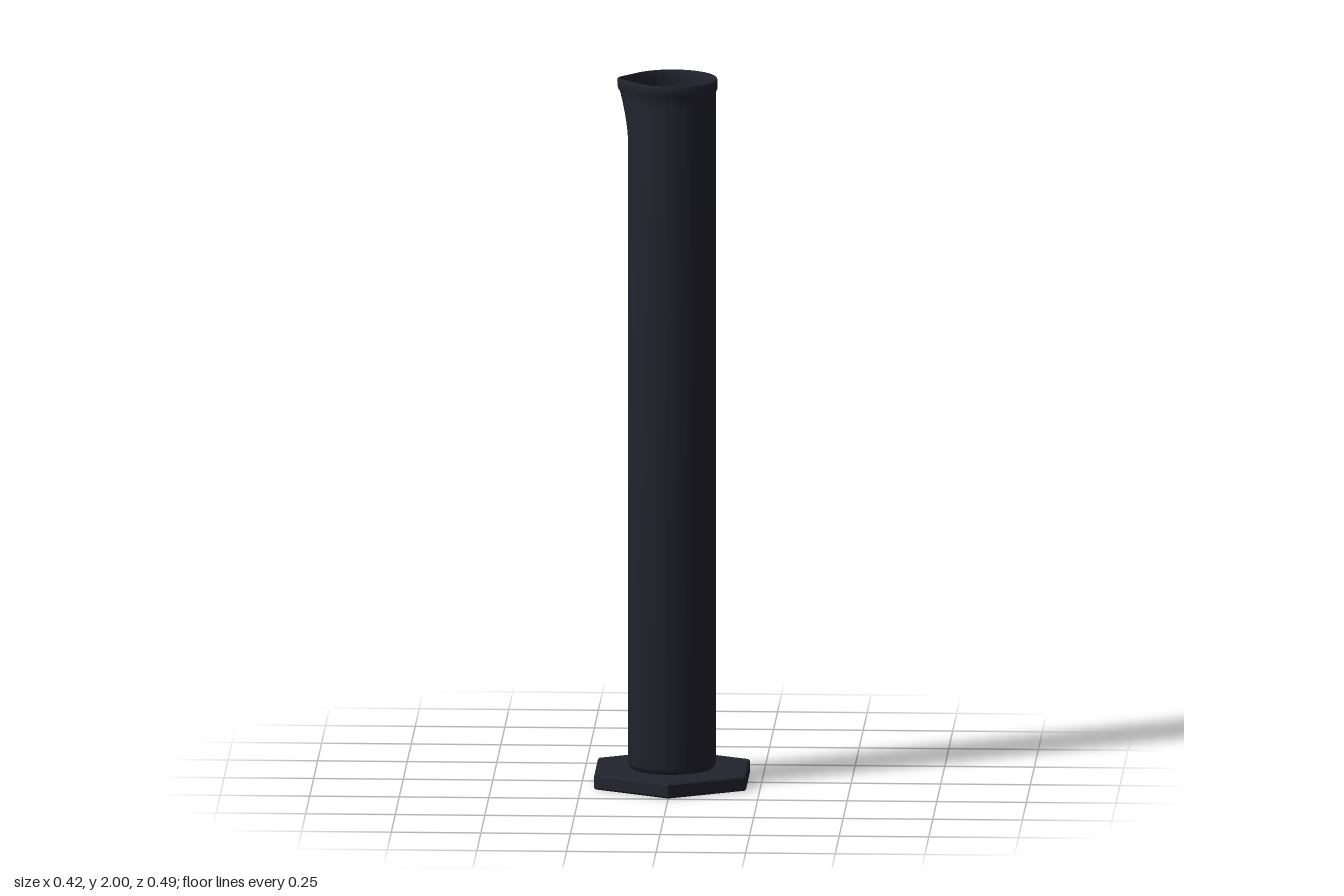
import * as THREE from 'three';
import { mergeVertices, toCreasedNormals } from 'three/addons/utils/BufferGeometryUtils.js';

const dark = new THREE.MeshStandardMaterial({ color: 0x242430 });
dark.name = 'dark plastic';

// Revolve a profile of [radius, height] pairs
function lathe(points, segments) {
  return new THREE.LatheGeometry(points.map(([r, y]) => new THREE.Vector2(r, y)), segments);
}

// Weld the seam and keep only the sharp edges creased
function finish(geometry, angle) {
  geometry.deleteAttribute('uv');
  geometry.deleteAttribute('normal');
  return toCreasedNormals(mergeVertices(geometry, 1e-5), angle);
}

// How far the spout tip stands out from the wall at a height
function spoutReach(y) {
  const t = THREE.MathUtils.clamp((y - 1.83) / 0.15, 0, 1);
  return 0.026 * Math.pow(t, 1.5);
}

// Pull one side of the wall out to a small round tip with tangent sides
function addSpout(geometry) {
  const p = geometry.attributes.position;
  const c = 0.777; // cosine of the spout's half angle
  for (let i = 0; i < p.count; i++) {
    const x = p.getX(i), z = p.getZ(i), r = Math.hypot(x, z);
    if (r < 0.05 || -x / r < c) continue;
    const shift = spoutReach(p.getY(i)) / (1 - c);
    const k = (r - shift * c) / r;
    p.setX(i, x * k - shift);
    p.setZ(i, z * k);
  }
  return geometry;
}

export function createModel() {
  const group = new THREE.Group();
  group.name = 'measuringCylinder';

  // Hexagonal foot with chamfered edges
  const foot = new THREE.Mesh(finish(lathe([
    [0, 0], [0.24, 0], [0.245, 0.005], [0.245, 0.037], [0.24, 0.042], [0, 0.042],
  ], 6), 0.3), dark);
  foot.name = 'hexagonalFoot';

  // Hollow tube: outer wall, rolled rim, inner wall and rounded floor
  const profile = [[0, 0.041], [0.112, 0.041], [0.119, 0.046], [0.123, 0.06], [0.123, 1.82]];
  for (let y = 1.84; y < 1.965; y += 0.02) profile.push([0.123, y]);
  profile.push([0.124, 1.968], [0.127, 1.972], [0.127, 1.995], [0.125, 2], [0.12, 2], [0.118, 1.995]);
  for (let y = 1.98; y > 1.825; y -= 0.02) profile.push([0.117, y]);
  for (let i = 0; i <= 8; i++) {
    const a = (i / 8) * Math.PI / 2;
    profile.push([i === 8 ? 0 : 0.117 * Math.cos(a), 0.11 - 0.05 * Math.sin(a)]);
  }
  const tube = new THREE.Mesh(finish(addSpout(lathe(profile, 96)), 0.7), dark);
  tube.name = 'tubeWithSpout';

  group.add(foot, tube);
  return group;
}
